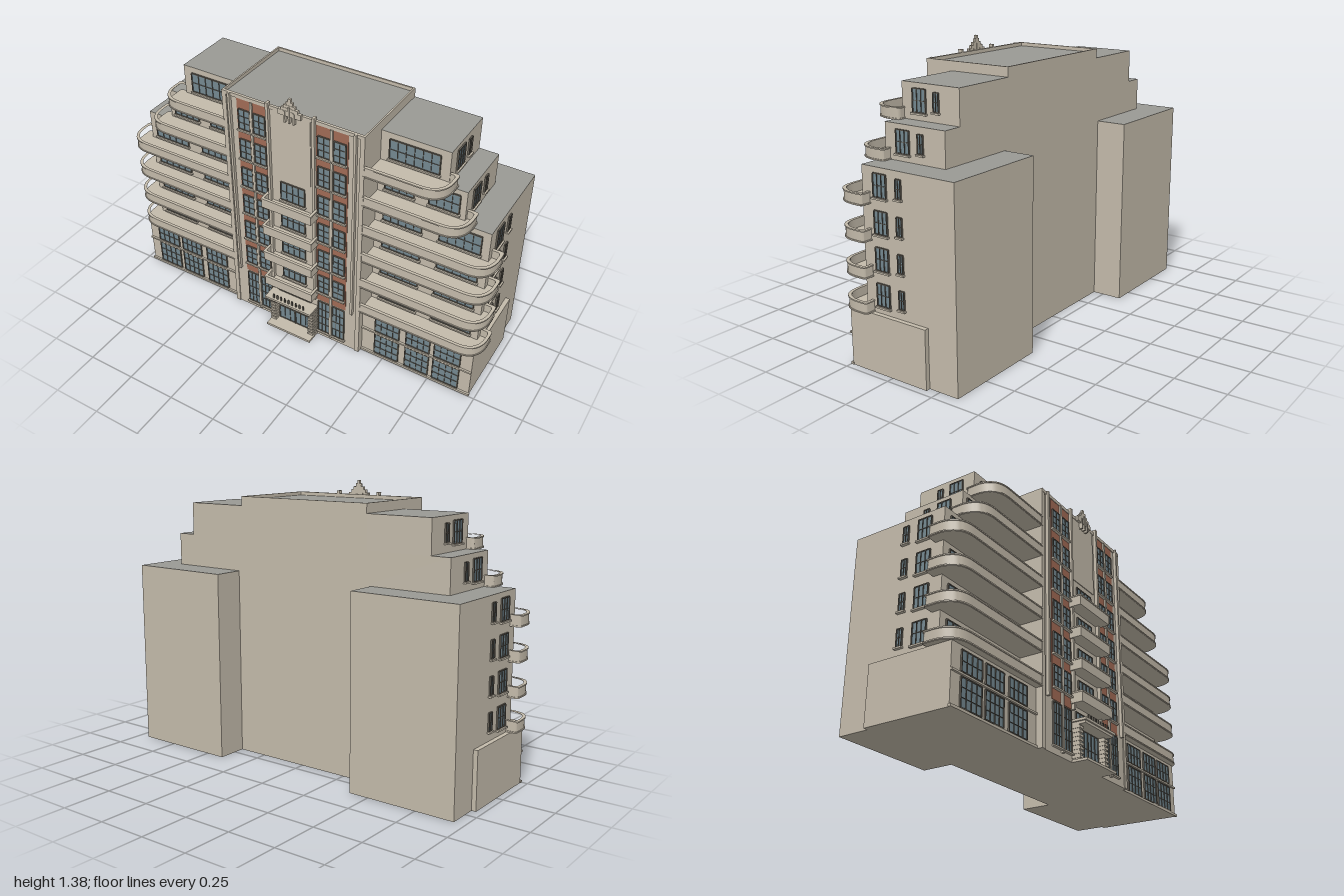
import * as THREE from 'three';
import { mergeGeometries, toCreasedNormals } from 'three/addons/utils/BufferGeometryUtils.js';

export function createModel() {
  const model = new THREE.Group();
  model.name = 'steppedApartmentBlock';
  const mat = (name, color) => Object.assign(new THREE.MeshStandardMaterial({ color }), { name });
  const wall = mat('stone', 0xc3baaa);
  const roof = mat('roofGrey', 0x999994);
  const glass = mat('glass', 0x748890);
  const frame = mat('windowFrame', 0x625d54);
  const brick = mat('brick', 0xa06a55);

  const add = (name, geo, m, parent = model) => {
    const mesh = new THREE.Mesh(geo, m);
    mesh.name = name;
    parent.add(mesh);
    return mesh;
  };
  // box geometry given by its limits
  const span = (x0, x1, y0, y1, z0, z1) =>
    new THREE.BoxGeometry(Math.abs(x1 - x0), y1 - y0, z1 - z0)
      .translate((x0 + x1) / 2, (y0 + y1) / 2, (z0 + z1) / 2);
  const box = (name, x0, x1, y0, y1, z0, z1, m = wall) => add(name, span(x0, x1, y0, y1, z0, z1), m);
  const roofed = [wall, wall, roof, wall, wall, wall];

  // window: glass plate, frame bars and sill, facing +z before turning; y is its bottom
  function windowUnit(name, x, y, z, w, h, cols, rows, turn = 0, sill = true) {
    const g = new THREE.Group();
    g.name = name;
    g.position.set(x, y, z);
    g.rotation.y = turn;
    add('pane', span(-w / 2, w / 2, 0, h, -0.002, 0.003), glass, g);
    const bars = [];
    for (let i = 0; i <= cols; i++) {
      const t = i % cols ? 0.0012 : 0.0025, bx = -w / 2 + (w * i) / cols;
      bars.push(span(bx - t, bx + t, 0, h, -0.002, 0.007));
    }
    for (let j = 0; j <= rows; j++) {
      const t = j % rows ? 0.0012 : 0.0025, by = (h * j) / rows;
      bars.push(span(-w / 2, w / 2, by - t, by + t, -0.002, 0.006));
    }
    add('bars', mergeGeometries(bars), frame, g);
    if (sill) add('sill', span(-w / 2 - 0.007, w / 2 + 0.007, -0.01, -0.002, -0.002, 0.014), wall, g);
    model.add(g);
  }

  // plan of a wraparound balcony, offset outward by d
  const IN = 0.37, FRONT = 0.273, BACK = 0.113;
  function plan(s, X, d, P) {
    const r = 0.11 + d, x = X + d, f = FRONT + d, b = BACK - d, c = 0.015;
    const p = new P();
    p.moveTo(s * IN, -f);
    p.lineTo(s * (x - r), -f);
    p.quadraticCurveTo(s * (x - r * 0.42), -f, s * (x - r * 0.2), -(f - r * 0.32));
    p.quadraticCurveTo(s * x, -(f - r * 0.58), s * x, -(f - r));
    p.lineTo(s * x, -(b + c));
    p.quadraticCurveTo(s * x, -b, s * (x - c), -b);
    p.lineTo(s * IN, -b);
    p.closePath();
    return p;
  }
  const rise = (shape, y, h) => toCreasedNormals(
    new THREE.ExtrudeGeometry(shape, { depth: h, bevelEnabled: false, curveSegments: 8 })
      .rotateX(-Math.PI / 2).translate(0, y, 0), 0.6);
  function ring(s, X, dOut, dIn) {
    const shape = plan(s, X, dOut, THREE.Shape);
    shape.holes.push(plan(s, X, dIn, THREE.Path));
    return shape;
  }
  function balcony(s, X, y) {
    add('balconyFloor', rise(plan(s, X, 0, THREE.Shape), y, 0.012), wall);
    add('balconyParapet', rise(ring(s, X, 0, -0.009), y + 0.012, 0.04), wall);
    add('balconyLowerLip', rise(ring(s, X, 0.004, -0.002), y + 0.002, 0.006), wall);
    add('balconyRail', rise(ring(s, X, 0.004, -0.011), y + 0.05, 0.006), wall);
  }

  // central tower with a parapet around its sunken roof
  add('tower', span(-0.375, 0.375, 0, 1.295, -0.195, 0.27), roofed);
  box('parapetBack', -0.375, 0.375, 1.295, 1.313, -0.195, -0.187);
  box('parapetFront', -0.375, 0.375, 1.295, 1.313, 0.262, 0.276);
  for (const s of [-1, 1]) box('parapetSide', s * 0.367, s * 0.375, 1.295, 1.313, -0.187, 0.262);

  const LEVELS = [0.28, 0.443, 0.608, 0.772];
  const PITCH = 0.1643;

  for (const s of [-1, 1]) {
    const turn = (s * Math.PI) / 2;
    // stepped wing and rear wing
    add('wingGroundFloor', span(s * 0.37, s * 0.967, 0, 0.28, -0.195, 0.24), wall);
    add('wingMiddleFloors', span(s * 0.37, s * 0.945, 0.28, 0.94, -0.195, 0.155), roofed);
    add('wingSixthFloor', span(s * 0.37, s * 0.81, 0.94, 1.103, -0.195, 0.14), roofed);
    add('wingTopFloor', span(s * 0.37, s * 0.713, 1.103, 1.267, -0.195, 0.125), roofed);
    add('rearWing', span(s * 0.4, s * 0.945, 0, 0.94, -0.35, -0.19), roofed);

    // wing floors with wraparound balconies and windows
    for (const y of LEVELS) {
      balcony(s, 0.996, y);
      windowUnit('wingWindow', s * 0.805, y + 0.035, 0.156, 0.2, 0.102, 5, 2);
      windowUnit('wingWindow', s * 0.518, y + 0.035, 0.156, 0.195, 0.102, 5, 2);
    }
    balcony(s, 0.856, 0.937);
    windowUnit('sixthFloorWindow', s * 0.707, 0.975, 0.141, 0.145, 0.1, 4, 2);
    windowUnit('sixthFloorWindow', s * 0.487, 0.975, 0.141, 0.145, 0.1, 4, 2);
    balcony(s, 0.752, 1.1);
    windowUnit('topFloorWindow', s * 0.543, 1.135, 0.126, 0.245, 0.1, 6, 2);

    // side windows, moving back with each setback
    for (let i = 0; i < 6; i++) {
      const x = [0.945, 0.945, 0.945, 0.945, 0.81, 0.713][i];
      const back = [0, 0, 0, 0, 0.014, 0.027][i];
      const y = 0.317 + i * PITCH;
      windowUnit('sideWindow', s * (x + 0.001), y, 0.052 - back, 0.072, 0.103, 3, 2, turn);
      windowUnit('narrowSideWindow', s * (x + 0.001), y + 0.012, -0.053 - back * 0.6, 0.028, 0.083, 2, 2, turn);
    }

    // ground floor shopfront windows, string course and plinth
    for (const [x, w] of [[0.838, 0.135], [0.682, 0.125], [0.515, 0.13]]) {
      windowUnit('groundWindow', s * x, 0.017, 0.241, w, 0.128, 4, 3, 0, false);
      windowUnit('mezzanineWindow', s * x, 0.167, 0.241, w, 0.093, 4, 2, 0, false);
    }
    box('stringCourse', s * 0.375, s * 0.969, 0.152, 0.161, 0.24, 0.25);
    box('plinth', s * 0.375, s * 0.971, 0, 0.012, 0.235, 0.25);

    // brick strip with two columns of windows between stone ribs
    box('brickStrip', s * 0.13, s * 0.295, 0.25, 1.295, 0.268, 0.273, brick);
    box('brickRib', s * 0.207, s * 0.219, 0.02, 1.295, 0.27, 0.282);
    for (const x of [0.172, 0.254]) {
      for (let i = 0; i < 6; i++)
        windowUnit('towerWindow', s * x, 0.312 + i * PITCH, 0.274, 0.062, 0.106, 2, 3);
      windowUnit('towerGroundWindow', s * x, 0.04, 0.271, 0.066, 0.2, 3, 4);
    }
    box('outerPilaster', s * 0.326, s * 0.338, 0.25, 1.313, 0.27, 0.286);
    box('innerPilaster', s * 0.115, s * 0.129, 0.25, 1.328, 0.264, 0.287);
    box('towerEdge', s * 0.352, s * 0.375, 0.0, 1.295, 0.27, 0.275);

    // ribbed entrance pier
    box('entrancePier', s * 0.1, s * 0.125, 0.012, 0.178, 0.27, 0.308);
    for (let i = 0; i < 8; i++)
      box('pierRib', s * 0.097, s * 0.128, 0.018 + i * 0.02, 0.03 + i * 0.02, 0.27, 0.313);
  }

  // central bay: balconies and windows
  for (const y of LEVELS) {
    windowUnit('bayWindow', 0, y + 0.035, 0.271, 0.13, 0.1, 4, 2);
    box('bayBalconyFloor', -0.137, 0.137, y - 0.003, y + 0.01, 0.265, 0.336);
    box('bayBalconyFront', -0.137, 0.137, y + 0.01, y + 0.047, 0.328, 0.336);
    for (const s of [-1, 1]) {
      box('bayBalconySide', s * 0.129, s * 0.137, y + 0.01, y + 0.047, 0.265, 0.328);
      box('bayBalconySideRail', s * 0.127, s * 0.14, y + 0.044, y + 0.051, 0.265, 0.339);
    }
    box('bayBalconyRail', -0.14, 0.14, y + 0.044, y + 0.051, 0.326, 0.34);
  }
  box('blankPanel', -0.1, 0.1, 0.94, 1.3, 0.269, 0.274);

  // stepped crest above the tower front
  [[0.06, 1.295, 1.322], [0.044, 1.322, 1.337], [0.03, 1.337, 1.352], [0.017, 1.352, 1.368], [0.007, 1.368, 1.385]]
    .forEach(([x, y0, y1], i) => box('crestStep', -x, x, y0, y1, 0.272, 0.288 - i * 0.001));
  for (const x of [-0.024, 0, 0.024])
    box('crestFin', x - 0.004, x + 0.004, 1.262, 1.345 - Math.abs(x), 0.27, 0.292);

  // entrance: step, doors, layered canopy with a low cresting
  box('entranceStep', -0.13, 0.13, 0, 0.012, 0.265, 0.35);
  windowUnit('entranceDoors', 0, 0.013, 0.272, 0.19, 0.163, 6, 2, 0, false);
  box('doorMeetingStile', -0.004, 0.004, 0.013, 0.13, 0.27, 0.281, frame);
  box('canopyLower', -0.125, 0.125, 0.176, 0.188, 0.265, 0.342);
  box('canopyUpper', -0.135, 0.135, 0.188, 0.2, 0.265, 0.35);
  for (let i = -4; i <= 4; i++)
    box('canopyPost', i * 0.022 - 0.004, i * 0.022 + 0.004, 0.2, 0.226, 0.334, 0.339, frame);
  windowUnit('fanlight', 0, 0.205, 0.271, 0.19, 0.045, 6, 1, 0, false);

  return model;
}
